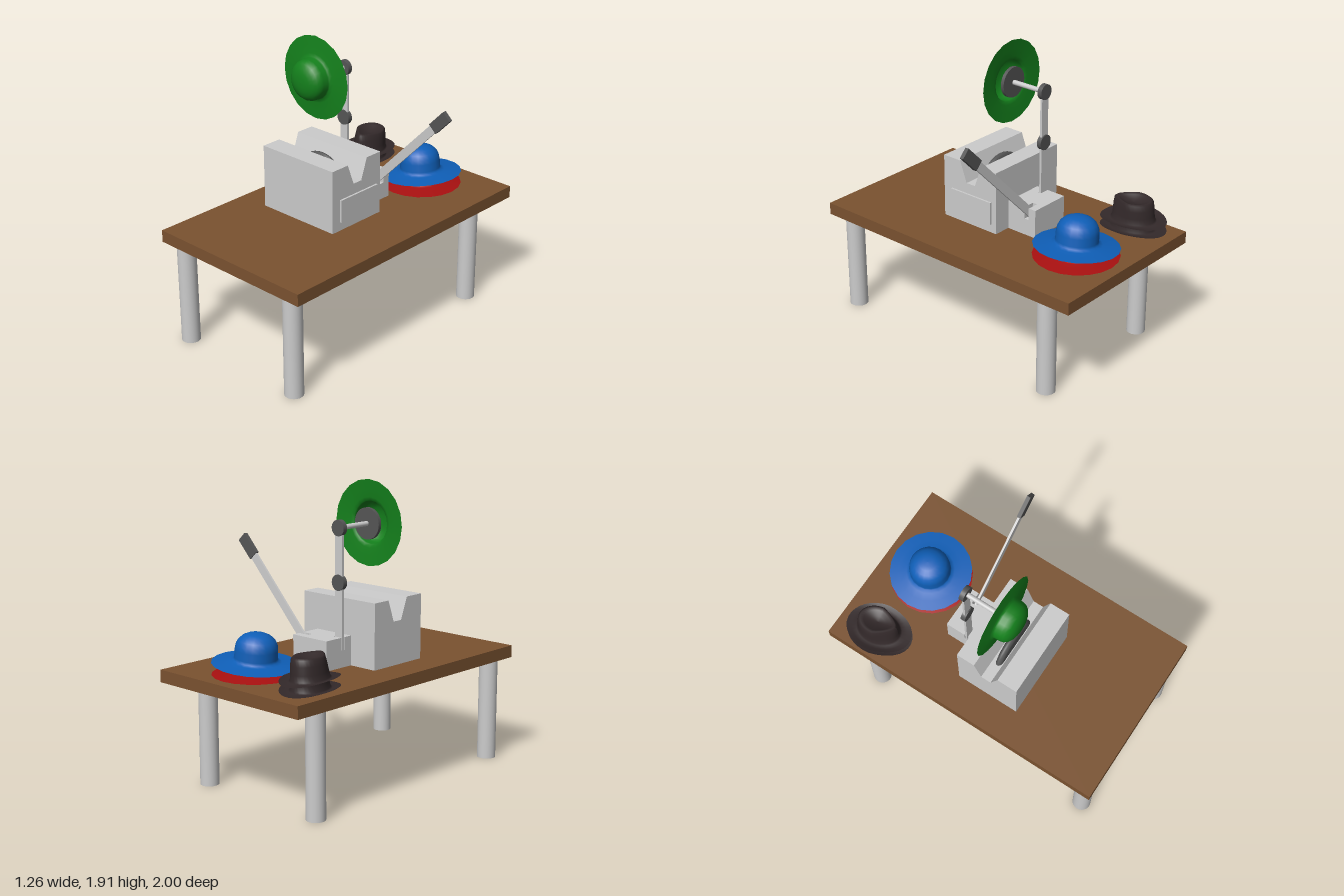
import * as THREE from 'three';

const mat = (color, side = THREE.FrontSide) => new THREE.MeshStandardMaterial({ color, side });
const grey = mat(0xcccccc);
const dark = mat(0x555555);
const wood = mat(0x7a5230);

function add(parent, name, geometry, material, x = 0, y = 0, z = 0) {
  const mesh = new THREE.Mesh(geometry, material);
  mesh.name = name;
  mesh.position.set(x, y, z);
  parent.add(mesh);
  return mesh;
}

// Box given by its lower and upper limits on each axis
function block(parent, name, material, x0, x1, y0, y1, z0, z1) {
  return add(parent, name, new THREE.BoxGeometry(x1 - x0, y1 - y0, z1 - z0), material,
    (x0 + x1) / 2, (y0 + y1) / 2, (z0 + z1) / 2);
}

// Disc or rod whose axis runs along z
function zCylinder(parent, name, material, r, x, y, z0, z1) {
  const g = new THREE.CylinderGeometry(r, r, z1 - z0, 32).rotateX(Math.PI / 2);
  return add(parent, name, g, material, x, y, (z0 + z1) / 2);
}

const polygon = (pts) => new THREE.Shape(pts.map(([x, y]) => new THREE.Vector2(x, y)));
const points = (pts) => pts.map(([x, y]) => new THREE.Vector2(x, y));

// Round hat with a wide, gently sloping brim
function roundHat(name, color) {
  const profile = points([[0.272, 0], [0.21, 0.009], [0.16, 0.016], [0.138, 0.024], [0.134, 0.04],
    [0.133, 0.09], [0.128, 0.12], [0.114, 0.148], [0.09, 0.171], [0.06, 0.185], [0.03, 0.191], [0, 0.192]]);
  const mesh = new THREE.Mesh(new THREE.LatheGeometry(profile, 20), mat(color, THREE.DoubleSide));
  mesh.name = name;
  return mesh;
}

// Oval hat: curled brim, crown pinched at the front and dented on top
function ovalHat(name) {
  const profile = points([[1, 0], [0.85, 0.002], [0.7, 0.004], [0.65, 0.012], [0.63, 0.05],
    [0.62, 0.1], [0.59, 0.138], [0.53, 0.148], [0.42, 0.138], [0.22, 0.122], [0, 0.118]]);
  const g = new THREE.LatheGeometry(profile, 32);
  const p = g.attributes.position;
  for (let i = 0; i < p.count; i++) {
    let x = p.getX(i), y = p.getY(i);
    const z = p.getZ(i), r = Math.hypot(x, z);
    if (r > 0.66) y += 0.02 * x * x * (r - 0.66) / 0.34;
    x *= 1 - Math.max(0, z) * 0.8 * THREE.MathUtils.clamp(y / 0.14, 0, 1);
    p.setXYZ(i, x * 0.165, y, z * 0.22);
  }
  g.computeVertexNormals();
  const mesh = new THREE.Mesh(g, mat(0x33292a, THREE.DoubleSide));
  mesh.name = name;
  return mesh;
}

export function createModel() {
  const model = new THREE.Group();
  model.name = 'hatWorkshopTable';

  // Table
  block(model, 'tableTop', wood, -0.63, 0.56, 0.69, 0.77, -1, 1);
  for (const x of [-0.51, 0.425])
    for (const z of [-0.735, 0.91])
      add(model, 'tableLeg', new THREE.CylinderGeometry(0.061, 0.061, 0.69, 32), grey, x, 0.345, z);

  // Press body: notched profile drawn in (-z, y), extruded along x
  const press = new THREE.Group();
  press.name = 'press';
  model.add(press);
  const side = polygon([[-0.315, 0.77], [0.12, 0.77], [0.12, 1.19], [-0.005, 1.19],
    [-0.055, 1.05], [-0.125, 1.05], [-0.178, 1.19], [-0.315, 1.19]]);
  const body = new THREE.ExtrudeGeometry(side, { depth: 0.6, bevelEnabled: false });
  add(press, 'pressBody', body.rotateY(Math.PI / 2), grey, -0.417, 0, 0);
  block(press, 'sidePanel', grey, 0.18, 0.196, 0.828, 0.98, -0.083, 0.248);

  // Round-edged wheel standing in the notch
  const rim = points([[0, -0.023], [0.17, -0.023], [0.186, -0.019], [0.197, -0.01],
    [0.2, 0], [0.197, 0.01], [0.186, 0.019], [0.17, 0.023], [0, 0.023]]);
  add(press, 'wheel', new THREE.LatheGeometry(rim, 40).rotateX(Math.PI / 2), dark, -0.12, 0.965, 0.097);

  // Rear housing: solid base, slotted upper part drawn in (x, -z)
  block(press, 'housingBase', grey, -0.22, 0.065, 0.77, 0.88, -0.34, -0.12);
  const plan = polygon([[-0.22, 0.12], [0.065, 0.12], [0.065, 0.253], [-0.015, 0.253],
    [-0.015, 0.287], [0.065, 0.287], [0.065, 0.34], [-0.22, 0.34],
    [-0.22, 0.205], [-0.155, 0.205], [-0.155, 0.18], [-0.22, 0.18]]);
  const top = new THREE.ExtrudeGeometry(plan, { depth: 0.08, bevelEnabled: false });
  add(press, 'housingTop', top.rotateX(-Math.PI / 2), grey, 0, 0.88, 0);

  // Lever, built upright and then leaned toward +x
  const lever = new THREE.Group();
  lever.name = 'lever';
  lever.position.set(0.005, 0.89, -0.271);
  lever.rotation.set(0.035, 0, -0.775);
  block(lever, 'leverBar', grey, -0.028, 0.028, 0, 0.72, -0.007, 0.007);
  block(lever, 'leverGrip', dark, -0.036, 0.036, 0.705, 0.862, -0.013, 0.013);
  press.add(lever);

  // Jointed arm holding the hat plate
  const arm = new THREE.Group();
  arm.name = 'arm';
  press.add(arm);
  const ax = -0.19, ay = 1.637;
  block(arm, 'lowerLink', grey, -0.22, -0.16, 0.88, 1.3, -0.2, -0.185);
  block(arm, 'upperLink', grey, -0.22, -0.16, 1.3, ay, -0.2, -0.185);
  zCylinder(arm, 'middleJoint', dark, 0.05, ax, 1.3, -0.208, -0.177);
  zCylinder(arm, 'topJoint', dark, 0.05, ax, ay, -0.208, -0.177);
  zCylinder(arm, 'holderRod', grey, 0.016, ax, ay, -0.18, 0.06);
  zCylinder(arm, 'holderPlate', dark, 0.1, ax, ay, 0.054, 0.077);

  // Hat on the holder, shallower than the others
  const green = roundHat('greenHat', 0x14801c);
  green.scale.y = 0.69;
  green.rotation.x = Math.PI / 2;
  green.position.set(ax, 1.64, 0.071);
  model.add(green);

  // Stacked round hats, the upper one leaning
  const red = roundHat('redHat', 0xa81010);
  red.position.set(0.062, 0.772, -0.663);
  const blue = roundHat('blueHat', 0x0f5fb8);
  blue.position.set(0.062, 0.835, -0.665);
  blue.rotation.z = 0.09;
  model.add(red, blue);

  // Stacked oval hats
  for (const [name, y, tilt] of [['lowerOvalHat', 0.778, 0], ['upperOvalHat', 0.836, -0.04]]) {
    const hat = ovalHat(name);
    hat.position.set(-0.452, y, -0.716);
    hat.rotation.set(0, 0.18, tilt);
    model.add(hat);
  }
  return model;
}
